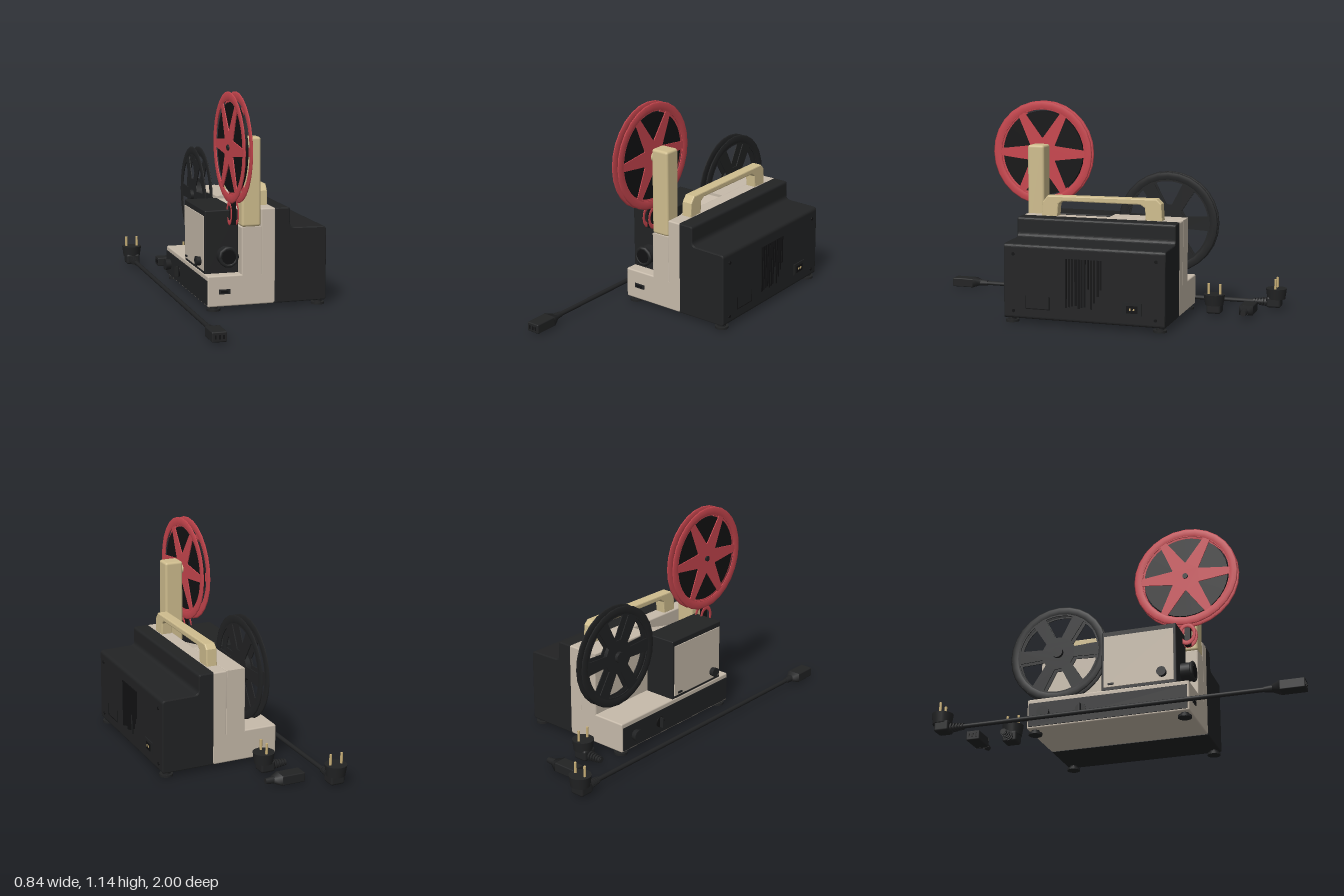
import * as THREE from 'three';
import { RoundedBoxGeometry } from 'three/addons/geometries/RoundedBoxGeometry.js';

const mat = (name, color) => {
  const m = new THREE.MeshStandardMaterial({ color });
  m.name = name;
  return m;
};

export function createModel() {
  const body = mat('warm grey body', 0xc6baaa);
  const cream = mat('cream trim', 0xcfbd8e);
  const black = mat('black plastic', 0x222324);
  const dark = mat('dark recess', 0x121213);
  const red = mat('red reel', 0xc8464e);
  const brass = mat('brass pins', 0xc9b078);
  const root = new THREE.Group();
  root.name = 'filmProjector';

  const add = (name, geo, m, parent = root) => {
    const mesh = new THREE.Mesh(geo, m);
    mesh.name = name;
    parent.add(mesh);
    return mesh;
  };
  const group = (name, x, y, z, ry = 0) => {
    const g = new THREE.Group();
    g.name = name;
    g.position.set(x, y, z);
    g.rotation.y = ry;
    root.add(g);
    return g;
  };
  // box given by its limits
  const box = (name, m, x0, x1, y0, y1, z0, z1, r = 0, parent = root) => {
    const s = [x1 - x0, y1 - y0, z1 - z0];
    const g = r ? new RoundedBoxGeometry(...s, 2, r) : new THREE.BoxGeometry(...s);
    g.translate((x0 + x1) / 2, (y0 + y1) / 2, (z0 + z1) / 2);
    return add(name, g, m, parent);
  };
  // cylinder along an axis, centred on p
  const cyl = (name, m, axis, r0, r1, h, p, n = 20, parent = root) => {
    const g = new THREE.CylinderGeometry(r1, r0, h, n);
    if (axis === 'x') g.rotateZ(-Math.PI / 2);
    if (axis === 'z') g.rotateX(Math.PI / 2);
    g.translate(...p);
    return add(name, g, m, parent);
  };
  const poly = (pts) => new THREE.Shape(pts.map((p) => new THREE.Vector2(...p)));
  const extrude = (shape, depth, b) => new THREE.ExtrudeGeometry(shape, {
    depth: depth - 2 * b, bevelEnabled: b > 0, bevelSize: b, bevelThickness: b,
    bevelOffset: -b, bevelSegments: 2, curveSegments: 8,
  }).translate(0, 0, b);
  // (z, y) outline extruded along x
  const side = (pts, x0, x1, b = 0) =>
    extrude(poly(pts.map(([z, y]) => [-z, y])), x1 - x0, b).rotateY(Math.PI / 2).translate(x0, 0, 0);

  // main body: low deck, tall wall, sloping shoulder under the arm
  box('baseDeck', body, -0.245, 0.12, 0.025, 0.19, -0.51, 0.375, 0.008);
  box('tallWall', body, 0.045, 0.125, 0.03, 0.535, -0.51, 0.375, 0.008);
  add('armShoulder', side([[-0.51, 0.1], [0.375, 0.1], [0.375, 0.44], [0.28, 0.44], [-0.1, 0.52],
    [-0.1, 0.535], [-0.51, 0.535]], -0.06, 0.05, 0.005), body);

  // black side cover with a stepped, rounded profile
  const c = new THREE.Shape();
  c.moveTo(0.12, 0.025);
  c.lineTo(0.395, 0.025);
  c.quadraticCurveTo(0.41, 0.025, 0.41, 0.04);
  c.lineTo(0.408, 0.405);
  c.quadraticCurveTo(0.408, 0.425, 0.385, 0.425);
  c.lineTo(0.23, 0.428);
  c.quadraticCurveTo(0.205, 0.428, 0.205, 0.455);
  c.lineTo(0.205, 0.52);
  c.quadraticCurveTo(0.205, 0.535, 0.19, 0.535);
  c.lineTo(0.12, 0.535);
  add('sideCover', extrude(c, 0.885, 0.006).translate(0, 0, -0.51), black);

  // vents, socket, hatch and screws on the cover
  for (let i = 0; i < 12; i++) {
    const z = 0.025 - i * 0.0172;
    box('ventSlot', dark, 0.406, 0.413, 0.1 + 0.025 * ((i * 5) % 4) * (i > 6 ? 1.4 : 0.2), 0.36, z - 0.005, z + 0.005);
  }
  box('powerSocket', black, 0.405, 0.415, 0.085, 0.15, -0.385, -0.285);
  box('socketRecess', dark, 0.41, 0.417, 0.095, 0.135, -0.365, -0.305);
  for (const z of [-0.345, -0.325]) box('socketPin', brass, 0.412, 0.419, 0.11, 0.122, z - 0.004, z + 0.004);
  box('hatchLine', dark, 0.405, 0.412, 0.08, 0.084, 0.12, 0.25);
  for (const z of [0.12, 0.25]) box('hatchEdge', dark, 0.405, 0.412, 0.08, 0.15, z - 0.002, z + 0.002);
  for (const z of [-0.46, 0.32]) for (const y of [0.065, 0.37])
    cyl('coverScrew', dark, 'x', 0.009, 0.009, 0.008, [0.409, y, z], 10);

  // lamp housing with its side panel
  box('lampHousing', black, -0.242, -0.06, 0.185, 0.525, -0.1, 0.31, 0.006);
  box('housingPanel', body, -0.247, -0.24, 0.205, 0.495, -0.085, 0.295);
  cyl('panelKnob', black, 'x', 0.026, 0.023, 0.03, [-0.258, 0.247, 0.235]);
  box('panelLatch', black, -0.253, -0.243, 0.215, 0.225, -0.06, -0.03);

  // lens
  cyl('lensBarrel', black, 'z', 0.05, 0.05, 0.08, [-0.13, 0.285, 0.335], 24);
  add('lensRim', new THREE.TorusGeometry(0.046, 0.011, 8, 10).translate(-0.13, 0.285, 0.368), black);
  cyl('lensGlass', dark, 'z', 0.037, 0.037, 0.006, [-0.13, 0.285, 0.375]);

  // front switch
  box('switchPlate', black, -0.185, -0.122, 0.092, 0.117, 0.37, 0.379);
  box('switchSlot', dark, -0.175, -0.135, 0.099, 0.11, 0.375, 0.382);

  // control strip with knobs
  box('controlStrip', black, -0.25, -0.242, 0.035, 0.165, -0.5, 0.365);
  cyl('mainKnob', black, 'x', 0.034, 0.028, 0.033, [-0.264, 0.1, -0.41], 16);
  cyl('dialDisc', dark, 'x', 0.03, 0.03, 0.008, [-0.25, 0.1, -0.21], 16);
  box('dialPointer', black, -0.275, -0.248, 0.072, 0.128, -0.214, -0.206);

  // feet
  for (const x of [-0.205, 0.375]) for (const z of [-0.475, 0.34]) {
    cyl('footPad', black, 'y', 0.036, 0.036, 0.012, [x, 0.006, z]);
    cyl('footStem', black, 'y', 0.022, 0.022, 0.02, [x, 0.019, z], 14);
  }

  // reel arm and carrying handle
  box('reelArm', cream, -0.06, 0.045, 0.44, 0.91, 0.28, 0.375, 0.014);
  add('carryHandle', side([[0.268, 0.53], [0.262, 0.61], [0.235, 0.645], [-0.38, 0.65], [-0.405, 0.625],
    [-0.412, 0.53], [-0.32, 0.53], [-0.315, 0.6], [-0.29, 0.617], [0.15, 0.617], [0.172, 0.6],
    [0.178, 0.53]], 0.055, 0.115, 0.006), cream);

  // reel flange in its own plane: disc with six openings
  const polar = (r, a) => [r * Math.cos(a), r * Math.sin(a)];
  const flange = (R, rIn, rOut, halfIn, halfOut) => {
    const s = new THREE.Shape().absarc(0, 0, R, 0, Math.PI * 2);
    for (let k = 0; k < 6; k++) {
      const a = (k + 0.5) * Math.PI / 3;
      const pts = [polar(rIn, a - halfIn), polar(rIn, a + halfIn)];
      for (let j = 0; j <= 6; j++) pts.push(polar(rOut, a + halfOut * (1 - j / 3)));
      s.holes.push(poly(pts));
    }
    return new THREE.ExtrudeGeometry(s, { depth: 0.005, bevelEnabled: false, curveSegments: 14 })
      .translate(0, 0, -0.0025).rotateY(Math.PI / 2);
  };
  const reel = (name, m, R, y, z, shape) => {
    const g = group(name, -0.098, y, z);
    for (const s of [-1, 1]) {
      add('flange', flange(R - 0.005, ...shape), m, g).position.x = s * 0.019;
      const rim = new THREE.TorusGeometry(R - 0.024, 0.024, 8, 28).scale(1, 1, 0.2).rotateY(Math.PI / 2);
      add('flangeRim', rim, m, g).position.x = s * 0.019;
    }
    cyl('hub', m, 'x', 0.04, 0.04, 0.036, [0, 0, 0], 20, g);
    cyl('axle', black, 'x', 0.015, 0.015, 0.08, [0.01, 0, 0], 14, g);
    return g;
  };
  const front = reel('supplyReel', red, 0.29, 0.855, 0.332, [0.085, 0.243, 0.03, 0.44]);
  cyl('woundFilm', dark, 'x', 0.234, 0.234, 0.026, [0, 0, 0], 40, front);
  cyl('armBearing', cream, 'x', 0.028, 0.024, 0.018, [0.033, 0, 0], 16, front);
  const back = reel('takeUpReel', black, 0.277, 0.5, -0.392, [0.095, 0.225, 0.2, 0.36]);
  cyl('hubCore', black, 'x', 0.075, 0.075, 0.034, [0, 0, 0], 24, back);
  cyl('hubCap', black, 'x', 0.03, 0.03, 0.08, [0, 0, 0], 16, back);

  // film guide below the front reel
  for (const x of [-0.117, -0.079]) {
    const ring = new THREE.TorusGeometry(0.04, 0.01, 6, 18).scale(1, 1.3, 0.25).rotateY(Math.PI / 2);
    add('filmGuide', ring.translate(x, 0.512, 0.335), red);
  }
  box('guideFilm', dark, -0.112, -0.085, 0.45, 0.58, 0.32, 0.35);

  // angled mains plug; cord side points to local +z
  const plug = (name, x, z, ry) => {
    const g = group(name, x, 0, z, ry);
    cyl('plugHead', black, 'y', 0.05, 0.058, 0.058, [0, 0.086, 0], 20, g);
    box('plugNeck', black, -0.04, 0.04, 0.01, 0.07, -0.03, 0.05, 0.012, g);
    for (let i = 0; i < 5; i++)
      cyl('strainRing', black, 'z', 0.026 - i * 0.002, 0.026 - i * 0.002, 0.009, [0, 0.035, 0.058 + i * 0.016], 12, g);
    cyl('strainCore', black, 'z', 0.016, 0.012, 0.09, [0, 0.035, 0.085], 10, g);
    for (const s of [-1, 1]) cyl('plugPin', brass, 'y', 0.007, 0.007, 0.06, [s * 0.032, 0.142, 0], 10, g);
  };
  plug('mainsPlug', -0.36, -0.942, 0);
  plug('loosePlug', -0.1, -0.65, -Math.PI / 2);

  // appliance connector; socket end points to local +z
  const connector = (name, x, z, ry) => {
    const g = group(name, x, 0.035, z, ry);
    box('connectorBody', black, -0.038, 0.038, -0.026, 0.026, -0.03, 0.1, 0.006, g);
    const taper = new THREE.CylinderGeometry(0.053, 0.028, 0.04, 4, 1).rotateY(Math.PI / 4);
    add('connectorTaper', taper.rotateX(Math.PI / 2).scale(1, 0.68, 1).translate(0, 0, -0.048), black, g);
    cyl('connectorSleeve', black, 'z', 0.015, 0.02, 0.05, [0, 0, -0.085], 10, g);
    for (const s of [-1, 0, 1]) box('contactSlot', dark, s * 0.02 - 0.004, s * 0.02 + 0.004, -0.01, 0.01, 0.095, 0.102, 0, g);
  };
  connector('cableConnector', -0.36, 0.898, 0);
  connector('looseConnector', -0.13, -0.825, -Math.PI / 2);
  cyl('powerCable', black, 'z', 0.012, 0.012, 1.68, [-0.36, 0.035, -0.02], 10);

  return root;
}
